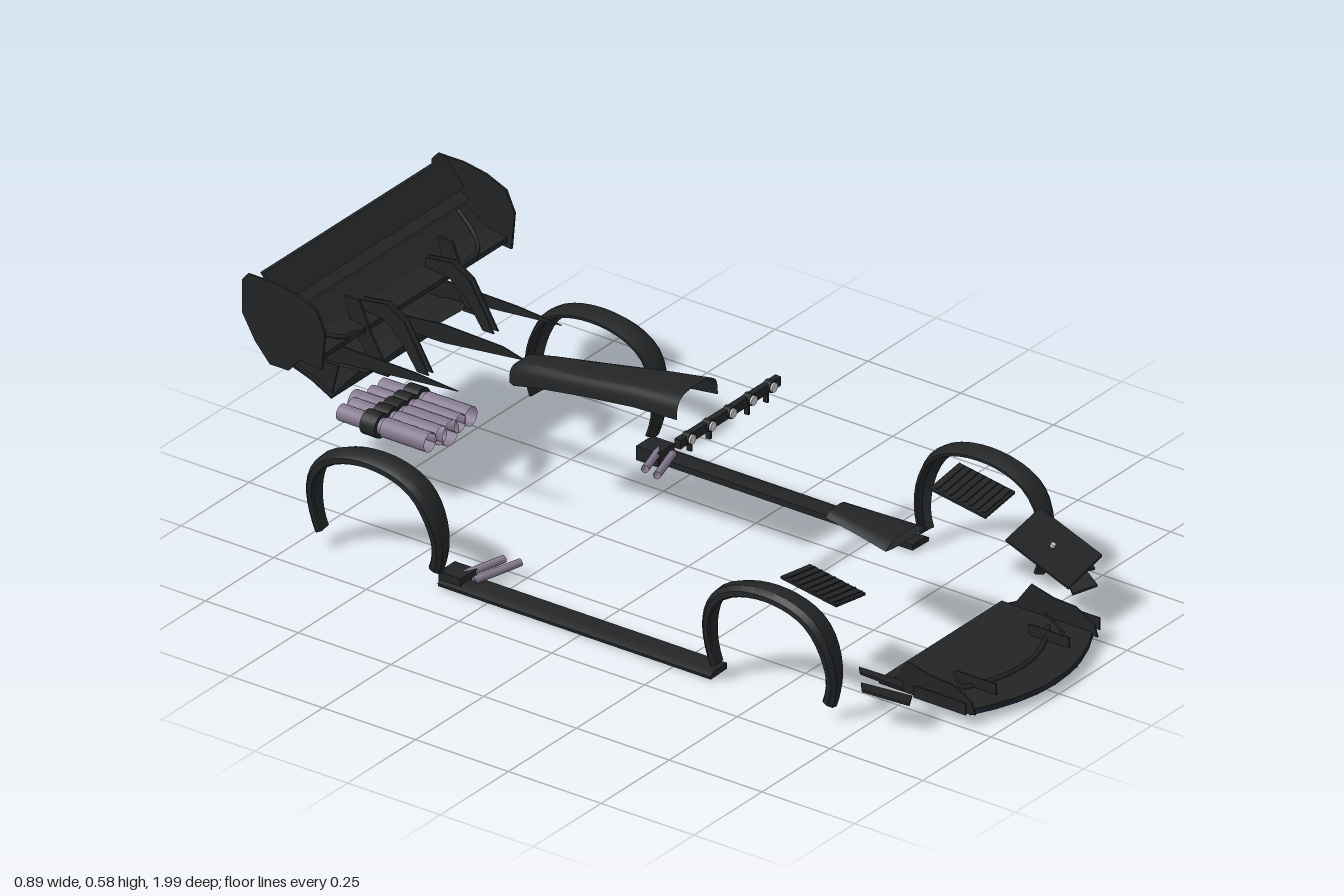
import * as THREE from 'three';
import { toCreasedNormals } from 'three/addons/utils/BufferGeometryUtils.js';

const mat = (color) => new THREE.MeshStandardMaterial({ color, side: THREE.DoubleSide });
const dark = mat(0x222426), pipeMat = mat(0x85798f), lampMat = mat(0xdddddd);
const blue = mat(0x182050), red = mat(0x7a1020);

export function createModel() {
  const model = new THREE.Group();
  const add = (name, geo, material = dark) => {
    const m = new THREE.Mesh(geo, material);
    m.name = name;
    model.add(m);
    return m;
  };
  const box = (name, x, y, z, w, h, d, material) =>
    add(name, new THREE.BoxGeometry(w, h, d).translate(x, y, z), material);

  // Skin over cross-sections given as lists of [x, y, z]
  const loft = (name, sections, closed = true, caps = closed) => {
    const n = sections[0].length, idx = [];
    const last = closed ? n : n - 1;
    for (let i = 0; i < sections.length - 1; i++)
      for (let j = 0; j < last; j++) {
        const a = i * n + j, b = i * n + (j + 1) % n;
        idx.push(a, b, a + n, b, b + n, a + n);
      }
    if (caps) for (const s of [0, (sections.length - 1) * n])
      for (let j = 1; j < n - 1; j++) s ? idx.push(s, s + j, s + j + 1) : idx.push(s, s + j + 1, s + j);
    const g = new THREE.BufferGeometry();
    g.setAttribute('position', new THREE.Float32BufferAttribute(sections.flat(2), 3));
    g.setIndex(idx);
    return add(name, toCreasedNormals(g, 0.6));
  };

  // Thin plate through four corners
  const plate = (name, [a, b, c, d], t = 0.006) => {
    const low = ([x, y, z]) => [x, y - t, z];
    return loft(name, [[a, d, low(d), low(a)], [b, c, low(c), low(b)]]);
  };

  // Side profile of [z, y] points drawn out across x0..x1
  const profile = (name, pts, x0, x1) => {
    const g = new THREE.ExtrudeGeometry(new THREE.Shape(pts.map((p) => new THREE.Vector2(...p))),
      { depth: x1 - x0, bevelEnabled: false });
    return add(name, g.rotateY(-Math.PI / 2).translate(x1, 0, 0));
  };

  const tube = (name, pts, r, material = dark, sides = 6) =>
    add(name, new THREE.TubeGeometry(new THREE.CatmullRomCurve3(
      pts.map((p) => new THREE.Vector3(...p))), 8, r, sides), material);
  const rodZ = (name, x, y, z0, z1, r, material, open = false) =>
    add(name, new THREE.CylinderGeometry(r, r, z1 - z0, 20, 1, open).rotateX(Math.PI / 2)
      .translate(x, y, (z0 + z1) / 2), material);

  // Front splitter with a bowed leading edge
  const sp = new THREE.Shape();
  sp.moveTo(-0.225, 0.68);
  sp.lineTo(0.225, 0.68);
  sp.lineTo(0.225, 0.925);
  sp.quadraticCurveTo(0, 1.055, -0.225, 0.925);
  add('splitter', new THREE.ExtrudeGeometry(sp, { depth: 0.012, bevelEnabled: false, curveSegments: 24 })
    .rotateX(Math.PI / 2).translate(0, 0.034, 0));
  const bow = (y, s) => Array.from({ length: 13 }, (_, i) => {
    const x = (i / 6 - 1) * 0.224;
    return [x, y, s - 0.065 * (x / 0.225) ** 2];
  });
  tube('splitterEdgeStrip', bow(0.022, 0.988), 0.003, blue);
  tube('splitterLip', bow(0.037, 0.9).map(([x, y, z]) => [x * 0.82, y, z]), 0.006);
  box('towTab', 0.118, 0.012, 0.953, 0.016, 0.022, 0.012, red);

  // Louvred panel over the bonnet, inlet open at the front
  const hood = [[0.4, 0.04, 0.262, 0.014], [0.5, 0.056, 0.257, 0.014], [0.585, 0.071, 0.25, 0.018]];
  loft('bonnetScoop', hood.map(([z, w, y, h]) => Array.from({ length: 11 }, (_, i) => {
    const u = i / 5 - 1;
    return [u * w, y + h * (1 - u ** 4), z];
  })), false);
  loft('bonnetScoopFloor', hood.map(([z, w, y]) => [-1, -0.6, 0, 0.6, 1].map((u) =>
    [u * w, y - 0.006 * (1 - u * u), z])), false);

  // Roof scoop, a tapering open shell
  const scoop = [[0.025, 0.075, 0.4, 0.456], [-0.1, 0.066, 0.389, 0.437], [-0.25, 0.055, 0.365, 0.411],
    [-0.38, 0.046, 0.34, 0.39], [-0.44, 0.042, 0.325, 0.378], [-0.46, 0.03, 0.322, 0.36]];
  loft('roofScoop', scoop.map(([z, w, y0, y1]) => Array.from({ length: 17 }, (_, i) => {
    const a = Math.PI * i / 16, c = Math.cos(a);
    return [w * Math.sign(c) * Math.abs(c) ** 0.6, y0 + (y1 - y0) * Math.sin(a) ** 0.6, z];
  })), false);
  profile('sharkFin', [[-0.44, 0.37], [-0.66, 0.345], [-0.8, 0.345], [-0.8, 0.375], [-0.66, 0.39], [-0.5, 0.385]],
    -0.002, 0.002);

  // Roof light bar
  box('lightBar', 0, 0.414, 0.107, 0.37, 0.022, 0.016);
  for (let i = -2; i <= 2; i++) {
    rodZ('lampHousing', i * 0.075, 0.415, 0.1, 0.119, 0.014);
    rodZ('lamp', i * 0.075, 0.415, 0.119, 0.124, 0.011, lampMat);
    if (i) box('lampBracket', i * 0.07, 0.391, 0.107, 0.006, 0.024, 0.012);
  }

  // Ducktail ramp between the deck fins
  const ramp = [[-0.815, 0.243, 0.024], [-0.87, 0.272, 0.02], [-0.94, 0.3, 0.014], [-0.995, 0.322, 0.012]];
  const rampRow = ([z, y, k], lift) => Array.from({ length: 13 }, (_, i) => {
    const u = i / 6 - 1;
    return [u * 0.2, y + lift + k * (1 - u * u), z];
  });
  loft('ducktail', ramp.map((r) => [...rampRow(r, 0), ...rampRow(r, 0.005).reverse()]));
  loft('ducktailDeck', [[-0.72, 0.337, 0.008], [-0.8, 0.33, 0.01], [-0.995, 0.327, 0.012]].map((r) => rampRow(r, 0)), false);

  // Rear wing elements
  profile('mainWing', [[-0.742, 0.43], [-0.742, 0.418], [-0.79, 0.422], [-0.84, 0.447], [-0.89, 0.497],
    [-0.905, 0.517], [-0.885, 0.512], [-0.85, 0.475], [-0.8, 0.442]], -0.345, 0.345);
  profile('upperFlap', [[-0.848, 0.524], [-0.87, 0.53], [-0.907, 0.583], [-0.898, 0.583], [-0.868, 0.548]], -0.335, 0.335);
  profile('wingSlat', [[-0.835, 0.5], [-0.865, 0.515], [-0.875, 0.51], [-0.85, 0.498]], -0.335, 0.335);

  // Tail pipes
  for (const [x, y, r] of [[-0.075, 0.137, 0.023], [-0.035, 0.137, 0.022], [0, 0.128, 0.03],
    [0.035, 0.137, 0.022], [0.075, 0.137, 0.023]]) {
    rodZ('tailPipe', x, y, -0.76, -0.64, r, pipeMat, true);
    rodZ('tailPipeFlange', x, y, -0.81, -0.77, r + 0.006, dark);
    rodZ('tailPipeTip', x, y, x ? -0.88 : -0.9, -0.76, r * 0.85, pipeMat, true);
  }

  // Wheel arch: a flared section swept round a horseshoe
  const arch = (name, s, zc, yc, rz, ry, xTop, xEnd, wide) => {
    const rows = [];
    for (let i = 0; i <= 28; i++) {
      const a = THREE.MathUtils.degToRad(-28 + 236 * i / 28);
      const c = Math.cos(a), sn = Math.sin(a), up = THREE.MathUtils.smoothstep(sn, -0.5, 0.7);
      const xo = xEnd + (xTop - xEnd) * up, w = wide * (0.62 + 0.38 * up);
      const k = (c ** 4 + sn ** 4) ** -0.08;
      const at = (u, d) => [s * (xo - w * u), yc + sn * k * (ry - d), zc + c * k * (rz - d)];
      rows.push([at(0, 0.024), at(0, 0.012), at(0.2, 0.002), at(0.55, 0), at(1, 0.01), at(1, 0.016), at(0.4, 0.014), at(0.1, 0.028)]);
    }
    loft(name, rows);
  };

  for (const s of [-1, 1]) {
    arch('frontArch', s, 0.513, 0.113, 0.182, 0.168, 0.425, 0.4, 0.06);
    arch('rearArch', s, -0.542, 0.117, 0.184, 0.168, 0.443, 0.412, 0.065);

    // Sill, end foot and side exhausts
    const sill = (z) => [[0.34, 0.006], [0.4, 0.004], [0.402, 0.012], [0.385, 0.02], [0.34, 0.02]]
      .map(([x, y]) => [s * x, y, z]);
    loft('sideSkirt', [sill(-0.38), sill(0.355)]);
    box('skirtFoot', s * 0.362, 0.018, -0.355, 0.06, 0.034, 0.06);
    for (const [x, z] of [[0.25, -0.268], [0.258, -0.306]])
      tube('sideExhaust', [[s * x, 0.034, z], [s * (x + 0.05), 0.03, z - 0.018], [s * (x + 0.115), 0.025, z - 0.042]],
        0.009, pipeMat, 12);

    // Splitter end fence, stays and dive planes
    profile('splitterFence', [[0.68, 0.025], [0.72, 0.045], [0.76, 0.1], [0.82, 0.085], [0.88, 0.082],
      [0.93, 0.055], [0.94, 0.025]], s * 0.225 - 0.002, s * 0.225 + 0.002);
    box('outerVane', s * 0.246, 0.046, 0.86, 0.003, 0.03, 0.14);
    box('innerVane', s * 0.134, 0.046, 0.875, 0.003, 0.028, 0.11);
    tube('splitterStay', [[s * 0.182, 0.034, 0.88], [s * 0.176, 0.056, 0.86], [s * 0.17, 0.078, 0.84]], 0.003);
    plate('upperDivePlane', [[s * 0.39, 0.142, 0.75], [s * 0.36, 0.135, 0.725], [s * 0.315, 0.108, 0.81], [s * 0.35, 0.112, 0.84]]);
    plate('lowerDivePlane', [[s * 0.39, 0.1, 0.755], [s * 0.36, 0.098, 0.73], [s * 0.295, 0.066, 0.82], [s * 0.345, 0.076, 0.85]]);

    // Bonnet vent with slats
    plate('ventPanel', [[s * 0.22, 0.254, 0.49], [s * 0.328, 0.27, 0.49], [s * 0.328, 0.246, 0.64], [s * 0.22, 0.23, 0.64]]);
    for (let i = 0; i < 8; i++) {
      const z = 0.497 + i * 0.018, d = -0.16 * (z - 0.49);
      plate('ventSlat', [[s * 0.226, 0.254 + d, z], [s * 0.322, 0.268 + d, z],
        [s * 0.322, 0.273 + d, z + 0.013], [s * 0.226, 0.259 + d, z + 0.013]], 0.003);
    }

    // Deck fin, wing end plate and struts
    profile('deckFin', [[-0.48, 0.362], [-0.8, 0.333], [-0.82, 0.247], [-0.9, 0.275], [-0.995, 0.305],
      [-0.995, 0.352], [-0.8, 0.375], [-0.6, 0.372]], s * 0.19 - 0.002, s * 0.19 + 0.002);
    profile('wingEndPlate', [[-0.722, 0.495], [-0.745, 0.545], [-0.8, 0.568], [-0.86, 0.578], [-0.93, 0.578],
      [-0.945, 0.56], [-0.945, 0.48], [-0.91, 0.42], [-0.87, 0.375], [-0.82, 0.375], [-0.79, 0.41], [-0.73, 0.405]],
      s * 0.348 - 0.003, s * 0.348 + 0.003);
    for (const x of [0.112, 0.128])
      profile('swanNeck', [[-0.605, 0.335], [-0.635, 0.335], [-0.68, 0.4], [-0.72, 0.435], [-0.79, 0.445],
        [-0.79, 0.465], [-0.72, 0.475], [-0.67, 0.445]], s * x - 0.002, s * x + 0.002);
    profile('wingStrut', [[-0.68, 0.335], [-0.72, 0.335], [-0.78, 0.42], [-0.8, 0.49], [-0.76, 0.49], [-0.73, 0.42]],
      s * 0.17 - 0.003, s * 0.17 + 0.003);
    box('strutFoot', s * 0.172, 0.337, -0.7, 0.022, 0.008, 0.05);
    tube('wingBrace', [[s * 0.298, 0.488, -0.84], [s * 0.285, 0.455, -0.79], [s * 0.25, 0.436, -0.75], [s * 0.2, 0.43, -0.745]], 0.005);
  }

  // Single headlight cover on the left with a centre fastener
  plate('headlightCover', [[0.212, 0.196, 0.7], [0.352, 0.212, 0.69], [0.362, 0.142, 0.85], [0.225, 0.122, 0.86]], 0.005);
  add('coverFastener', new THREE.CylinderGeometry(0.006, 0.006, 0.008, 12).rotateX(0.4).translate(0.288, 0.172, 0.772), lampMat);

  return model;
}
